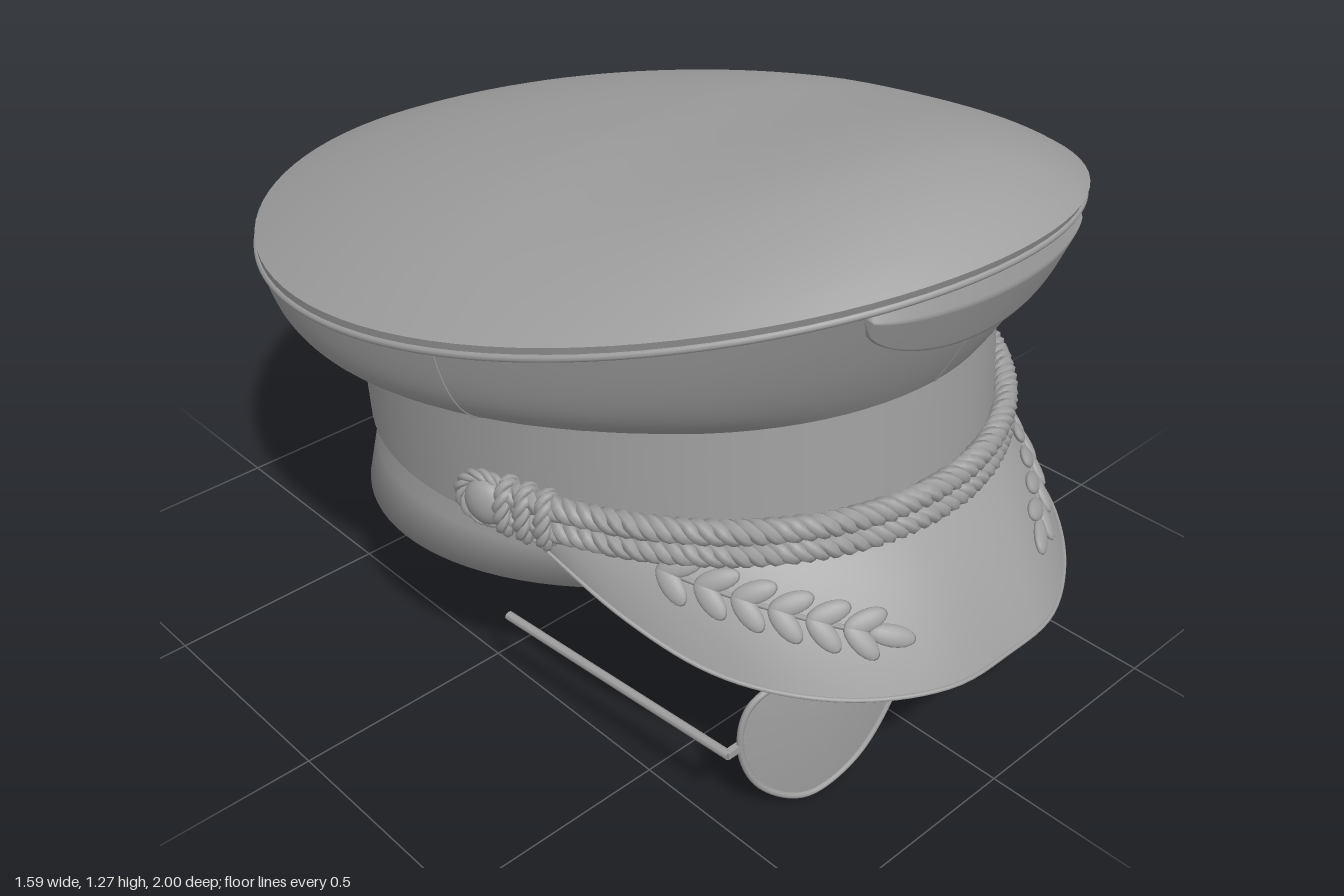
import * as THREE from 'three';
import { mergeVertices } from 'three/addons/utils/BufferGeometryUtils.js';

const V = (x, y, z) => new THREE.Vector3(x, y, z);
const mat = new THREE.MeshStandardMaterial({ color: 0x9f9f9f, side: THREE.DoubleSide });

function add(parent, name, geo) {
  const m = new THREE.Mesh(geo, mat);
  m.name = name;
  parent.add(m);
  return m;
}

// Smooth surface from a rule f(u, v), u and v in 0..1
function surface(f, nu, nv) {
  const pos = [], idx = [];
  for (let j = 0; j <= nv; j++)
    for (let i = 0; i <= nu; i++) pos.push(...f(i / nu, j / nv).toArray());
  for (let j = 0; j < nv; j++)
    for (let i = 0; i < nu; i++) {
      const a = j * (nu + 1) + i, b = a + 1, c = a + nu + 1, d = c + 1;
      idx.push(a, b, d, a, d, c);
    }
  let g = new THREE.BufferGeometry();
  g.setAttribute('position', new THREE.Float32BufferAttribute(pos, 3));
  g.setIndex(idx);
  g = mergeVertices(g, 1e-5);
  g.computeVertexNormals();
  return g;
}

const spline = (pts, closed = false) => new THREE.CatmullRomCurve3(pts, closed);
const tube = (pts, r, n, closed = false, sides = 8) =>
  new THREE.TubeGeometry(spline(pts, closed), n, r, sides, closed);
const sample = (f, n, from, to) =>
  Array.from({ length: n + 1 }, (_, i) => f(from + (to - from) * i / n));
const TAU = Math.PI * 2;

// Ellipse ring around the cap; a = 0 is the front, yOf gives height from z
const ring = (a, rx, cz, rz, yOf) => {
  const z = cz + rz * Math.cos(a);
  return V(rx * Math.sin(a), yOf(z), z);
};
const rimY = z => 0.965 + 0.185 * z + 0.065 * z * z;
const rim = a => ring(a, 0.792, -0.04, 0.959, rimY);
const seam = a => ring(a, 0.64, 0.015, 0.745, z => 0.768 + 0.107 * z);
const bandBottom = a => ring(a, 0.638, 0.037, 0.743, z => 0.51 + 0.105 * z);
const skirtTop = a => ring(a, 0.595, 0.01, 0.7, z => 0.53 + 0.105 * z);
const skirtBottom = a => ring(a, 0.64, -0.04, 0.66, z => 0.345 + 0.145 * z);

// Crown side: straight at the front, swelling round the sides and back
function crownSide(a, t) {
  const p0 = rim(a), p3 = seam(a);
  const w = 1 - 0.9 * ((1 + Math.cos(a)) / 2) ** 2;
  const p1 = p0.clone().lerp(p3, 1 / 3).lerp(V(p0.x * 0.99, p0.y - 0.14, p0.z * 0.99), w);
  const p2 = p0.clone().lerp(p3, 2 / 3)
    .lerp(V(p3.x + 0.14 * Math.sin(a), p3.y - 0.02, p3.z + 0.14 * Math.cos(a)), w);
  return new THREE.CubicBezierCurve3(p0, p1, p2, p3).getPoint(t);
}

// Crown top: domed, highest towards the front
function crownTop(a, v) {
  const k = 1 - v, x = 0.792 * k * Math.sin(a), z = -0.04 + 0.959 * k * Math.cos(a);
  const swell = 0.2 + 0.3 * Math.max(0, z - 0.15) ** 2 + 0.04 * Math.min(0, z);
  return V(x, rimY(z) + (1 - k ** 2.6) * swell, z);
}

// Visor between the band and its outer edge; t in -1..1 across, s in 0..1 outward
const half = [[0.15, 0.33, 0.985], [0.3, 0.335, 0.91], [0.42, 0.35, 0.8],
  [0.5, 0.372, 0.67], [0.56, 0.43, 0.5], [0.605, 0.53, 0.25]];
const visorEdge = spline([
  ...half.map(([x, y, z]) => V(-x, y, z)).reverse(), V(0, 0.329, 0.995), ...half.map(p => V(...p))]);
function visor(t, s) {
  const p = bandBottom(t * 1.28).lerp(visorEdge.getPoint((t + 1) / 2), s);
  const b = 0.08 * s * (1 - s) * (1 - t * t);
  return p.add(V(0, b, b * 0.5));
}

// Rope of three twisted strands along a curve
function rope(parent, name, curve, r, closed = false) {
  const g = new THREE.Group();
  g.name = name;
  const turns = Math.max(3, Math.round(curve.getLength() / 0.085)), n = turns * 10;
  const fr = curve.computeFrenetFrames(n, closed);
  for (let k = 0; k < 3; k++) {
    const pts = [];
    for (let i = 0; i < (closed ? n : n + 1); i++) {
      const ang = TAU * (i * turns / n + k / 3);
      pts.push(curve.getPointAt(i / n)
        .addScaledVector(fr.normals[i], Math.cos(ang) * r * 0.5)
        .addScaledVector(fr.binormals[i], Math.sin(ang) * r * 0.5));
    }
    add(g, 'strand', tube(pts, r * 0.56, n, closed, 6));
  }
  parent.add(g);
}

function buildCap(cap) {
  add(cap, 'crownTop', surface((u, v) => crownTop(u * TAU, v), 96, 28));
  add(cap, 'crownSide', surface((u, v) => crownSide(u * TAU, 1 - v), 96, 16));
  add(cap, 'crownPiping', tube(sample(a => crownSide(a, 0.07), 95, 0, TAU * 95 / 96), 0.008, 192, true));
  for (const a of [-TAU * 20 / 96, 0, TAU * 20 / 96])
    add(cap, 'crownSeam', tube(sample(t => crownSide(a, t), 16, 0.0625, 1), 0.002, 32, false, 5));

  // Band with a small turned-in lower lip
  add(cap, 'band', surface((u, v) => bandBottom(u * TAU).lerp(seam(u * TAU), v), 96, 4));
  add(cap, 'bandLip', surface((u, v) => skirtTop(u * TAU).lerp(bandBottom(u * TAU), v), 96, 1));

  // Skirt and closed underside in one soft surface
  add(cap, 'skirt', surface((u, v) => v < 0.5
    ? V(0, 0.18, 0).lerp(skirtBottom(u * TAU), v * 2)
    : skirtBottom(u * TAU).lerp(skirtTop(u * TAU), v * 2 - 1), 96, 4));

  add(cap, 'visor', surface((u, v) => visor(u * 2 - 1, 1 - v), 60, 12));
  add(cap, 'visorEdge', new THREE.TubeGeometry(visorEdge, 80, 0.005, 6));

  // Crescent badge raised from the front of the crown
  add(cap, 'badge', surface((u, v) => {
    const q = u * 2 - 1, a = q * 0.405, w = Math.sqrt(Math.max(0, 1 - q * q));
    const lift = 0.003 + 0.024 * Math.min(1, v / 0.08, (1 - v) / 0.25) * w ** 0.6;
    return crownSide(a, 0.09 + (1 - v) * 0.47 * w).add(V(Math.sin(a) * lift, 0, Math.cos(a) * lift));
  }, 40, 24));
}

function buildCords(cap) {
  const path = (y, r) => a => V((0.638 + r) * Math.sin(a), y, 0.035 + (0.743 + r) * Math.cos(a));
  for (const y of [0.632, 0.582])
    rope(cap, 'cord', spline(sample(path(y, 0.022), 40, -1.28, 1.28)), 0.026);
  for (const s of [-1, 1]) {
    // Knot wraps round both cords
    for (const a of [1.17, 1.23, 1.29]) {
      const c = path(0.6, 0.022)(a * s), out = V(Math.sin(a * s), 0, Math.cos(a * s));
      const loop = sample(k => c.clone().addScaledVector(out, 0.026 * Math.cos(k))
        .add(V(0, 0.052 * Math.sin(k), 0)), 11, 0, TAU * 11 / 12);
      rope(cap, 'cordKnot', spline(loop, true), 0.018, true);
    }
    // Loop round the side button
    const eye = sample(k => V(s * (0.645 - 0.02 * Math.cos(k)), 0.592 + 0.052 * Math.sin(k),
      0.185 + 0.052 * Math.cos(k)), 11, 0, TAU * 11 / 12);
    rope(cap, 'buttonLoop', spline(eye, true), 0.014, true);
    const button = add(cap, 'sideButton', new THREE.SphereGeometry(0.05, 24, 16));
    button.scale.x = 0.6;
    button.position.set(s * 0.65, 0.592, 0.197);
    button.rotation.y = -s * 0.25;
  }
}

// Leaf sprays lying on the visor
function buildLeaves(cap) {
  const leafGeo = new THREE.SphereGeometry(1, 14, 10);
  for (const s of [-1, 1]) {
    const spray = new THREE.Group();
    spray.name = 'leafSpray';
    const place = k => [s * (0.71 - 0.45 * k), 0.14 + 0.52 * k ** 0.8];
    const stem = k => visor(...place(k));
    add(spray, 'stem', tube(sample(stem, 14, 0.02, 0.95), 0.006, 28, false, 6));
    const leaf = (k, turn, len) => {
      const [t, v] = place(k);
      const n = visor(t + 0.01, v).sub(visor(t - 0.01, v))
        .cross(visor(t, v - 0.01).sub(visor(t, v + 0.01))).normalize();
      const d = stem(k + 0.01).sub(stem(k - 0.01)).normalize().applyAxisAngle(n, turn);
      const m = add(spray, 'leaf', leafGeo);
      m.scale.set(len, 0.022, 0.011);
      m.quaternion.setFromRotationMatrix(new THREE.Matrix4().makeBasis(d, n.clone().cross(d), n));
      m.position.copy(stem(k)).addScaledVector(d, len * 0.75).addScaledVector(n, 0.004);
    };
    for (let i = 0; i < 6; i++)
      for (const side of [-1, 1]) leaf(0.04 + i * 0.155, side * 0.6, 0.046);
    leaf(0.92, 0, 0.048);
    cap.add(spray);
  }
}

function buildGlasses(glasses) {
  const lensZ = x => 0.802 - 0.42 * (x - 0.05) ** 2;
  const outline = [[0.083, 0.31], [0.13, 0.335], [0.25, 0.338], [0.38, 0.335], [0.452, 0.295], [0.47, 0.2],
    [0.425, 0.08], [0.315, 0.008], [0.2, 0.045], [0.11, 0.15], [0.074, 0.25]];
  for (const s of [-1, 1]) {
    const pts = outline.map(([x, y]) => V(s * x, y, lensZ(x)));
    const edge = spline(pts, true);
    add(glasses, 'lens', surface((u, v) => {
      const p = V(s * 0.28, 0.19, 0).lerp(edge.getPoint(s > 0 ? 1 - u : u), v);
      return p.setZ(lensZ(Math.abs(p.x)) + 0.008 * (1 - v * v));
    }, 64, 8));
    add(glasses, 'lensFrame', tube(pts, 0.007, 80, true));
    const pad = add(glasses, 'nosePad', new THREE.SphereGeometry(1, 14, 10));
    pad.scale.set(0.008, 0.028, 0.016);
    pad.position.set(s * 0.1, 0.175, 0.765);
    pad.rotation.set(0, s * 0.5, s * 0.3);
    add(glasses, 'padArm', tube([V(s * 0.09, 0.21, 0.797), V(s * 0.085, 0.2, 0.77), V(s * 0.1, 0.175, 0.765)], 0.004, 10, false, 6));
    add(glasses, 'hinge', new THREE.BoxGeometry(0.045, 0.016, 0.014)).position.set(s * 0.483, 0.2, 0.726);
    add(glasses, 'temple', tube([V(s * 0.502, 0.2, 0.73), V(s * 0.525, 0.2, 0.42), V(s * 0.547, 0.2, 0.11)], 0.01, 12));
    const tip = add(glasses, 'templeTip', new THREE.CircleGeometry(0.01, 8));
    tip.position.set(s * 0.547, 0.2, 0.11);
    tip.rotation.y = Math.PI;
  }
  add(glasses, 'bridge', tube([V(-0.076, 0.25, 0.8), V(-0.06, 0.295, 0.802), V(-0.035, 0.311, 0.804),
    V(0.035, 0.311, 0.804), V(0.06, 0.295, 0.802), V(0.076, 0.25, 0.8)], 0.008, 30));
}

export function createModel() {
  const model = new THREE.Group(), cap = new THREE.Group(), glasses = new THREE.Group();
  cap.name = 'cap';
  glasses.name = 'glasses';
  buildCap(cap);
  buildCords(cap);
  buildLeaves(cap);
  buildGlasses(glasses);
  model.add(cap, glasses);
  return model;
}
